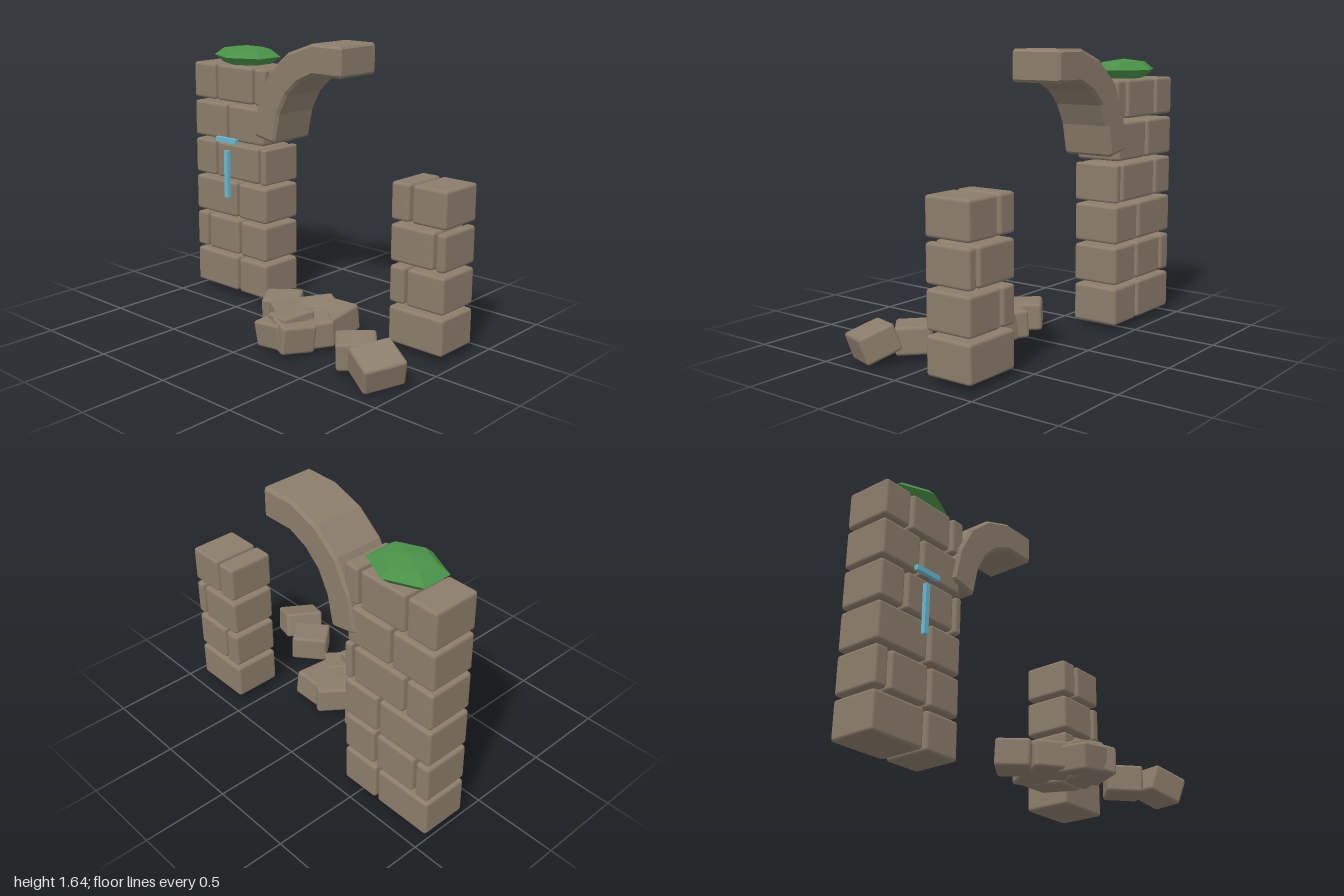
import * as THREE from 'three';
import { RoundedBoxGeometry } from 'three/addons/geometries/RoundedBoxGeometry.js';

const WALL_Z = -0.287, WALL_DEPTH = 0.285;

const stone = new THREE.MeshStandardMaterial({ color: 0x8b7d6b });
stone.name = 'stone';
const leaf = new THREE.MeshStandardMaterial({ color: 0x4a9148, flatShading: true });
leaf.name = 'leaf green';
const glow = new THREE.MeshStandardMaterial({ color: 0x6ab9d2 });
glow.name = 'rune blue';

// Stone block with softened edges
function block(name, w, h, d, x, y, z) {
  const r = Math.min(0.018, w * 0.3);
  const mesh = new THREE.Mesh(new RoundedBoxGeometry(w, h, d, 2, r), stone);
  mesh.name = name;
  mesh.position.set(x, y, z);
  return mesh;
}

// Courses of bricks; each row lists [left, right] spans along x
function wall(name, rows, rowHeight, brickHeight) {
  const group = new THREE.Group();
  group.name = name;
  rows.forEach((row, i) => {
    const y = 0.05 + i * rowHeight + brickHeight / 2;
    for (const [a, b] of row) {
      group.add(block('brick', b - a, brickHeight, WALL_DEPTH, (a + b) / 2, y, WALL_Z));
    }
  });
  return group;
}

// Broken arch: faceted curved outline, extruded with a small bevel
function brokenArch() {
  const outline = [
    [-0.278, 1.045], [-0.455, 1.073], [-0.472, 1.09],
    [-0.43, 1.29], [-0.337, 1.465], [-0.19, 1.587], [-0.005, 1.652],
    [0.195, 1.652], [0.21, 1.637], [0.21, 1.49], [0.195, 1.475],
    [0.005, 1.475], [-0.11, 1.423], [-0.2, 1.34], [-0.262, 1.222], [-0.297, 1.06],
  ].map(([x, y]) => new THREE.Vector2(x, y));
  // start the end face at its inner corner
  outline[0].set(-0.312, 1.047);
  const bevel = 0.016, depth = 0.316;
  const geo = new THREE.ExtrudeGeometry(new THREE.Shape(outline), {
    depth: depth - bevel * 2, bevelEnabled: true, bevelThickness: bevel,
    bevelSize: bevel, bevelOffset: -bevel, bevelSegments: 1,
  });
  geo.translate(0, 0, -0.443 + bevel);
  const mesh = new THREE.Mesh(geo, stone);
  mesh.name = 'brokenArch';
  return mesh;
}

// Fallen stones: position, size, rotation
function rubble() {
  const group = new THREE.Group();
  group.name = 'rubble';
  const stones = [
    [-0.1, 0.122, 0.0, 0.22, 0.155, 0.19, 0.04, 0.6, 0.03],
    [0.125, 0.13, -0.045, 0.17, 0.155, 0.23, 0.05, -0.6, -0.05],
    [0.262, 0.122, -0.02, 0.2, 0.155, 0.26, 0.12, 0.02, 0.02],
    [0.06, 0.125, 0.115, 0.23, 0.155, 0.2, -0.05, -0.6, 0.02],
    [0.28, 0.12, 0.15, 0.17, 0.155, 0.2, 0.05, -0.6, -0.04],
    [0.135, 0.115, 0.275, 0.2, 0.15, 0.19, 0.08, -0.06, 0.12],
    [0.24, 0.12, 0.275, 0.17, 0.16, 0.2, -0.08, -0.4, -0.08],
    [0.185, 0.16, 0.225, 0.18, 0.14, 0.2, 0.1, -0.25, 0.1],
    [0.63, 0.12, 0.205, 0.22, 0.155, 0.2, 0.03, 0.72, 0.03],
    [0.845, 0.128, 0.3, 0.21, 0.155, 0.24, 0.1, -0.45, -0.32],
  ];
  for (const [x, y, z, w, h, d, rx, ry, rz] of stones) {
    const mesh = block('fallenStone', w, h, d, x, y, z);
    mesh.rotation.set(rx, ry, rz, 'YXZ');
    group.add(mesh);
  }
  return group;
}

// Low-poly shrub on top of the tall wall
function shrub() {
  const geo = new THREE.SphereGeometry(1, 6, 4);
  geo.rotateY(Math.PI / 2);
  geo.scale(0.228, 0.063, 0.174);
  const mesh = new THREE.Mesh(geo, leaf);
  mesh.name = 'shrub';
  mesh.position.set(-0.672, 1.52, WALL_Z);
  return mesh;
}

// Raised blue bars on the wall face
function rune() {
  const group = new THREE.Group();
  group.name = 'rune';
  for (const [name, w, h, x, y] of [
    ['runeCrossbar', 0.172, 0.03, -0.689, 1.016],
    ['runeStem', 0.03, 0.293, -0.69, 0.803],
  ]) {
    const bar = new THREE.Mesh(new THREE.BoxGeometry(w, h, 0.025), glow);
    bar.name = name;
    bar.position.set(x, y, -0.122);
    group.add(bar);
  }
  return group;
}

export function createModel() {
  const model = new THREE.Group();
  model.name = 'ruinedArchway';

  model.add(wall('tallWall', [
    [[-1, -0.64], [-0.62, -0.385]],
    [[-1, -0.91], [-0.89, -0.625], [-0.605, -0.385]],
    [[-1, -0.64], [-0.62, -0.385]],
    [[-1, -0.825], [-0.805, -0.452], [-0.432, -0.385]],
    [[-1, -0.722], [-0.702, -0.405]],
    [[-1, -0.813], [-0.795, -0.497], [-0.477, -0.385]],
  ], 0.24, 0.22));

  model.add(wall('shortWall', [
    [[0.565, 0.925]],
    [[0.565, 0.664], [0.682, 0.925]],
    [[0.565, 0.848], [0.866, 0.925]],
    [[0.565, 0.686], [0.704, 0.925]],
  ], 0.2345, 0.211));

  model.add(brokenArch(), rubble(), shrub(), rune());
  return model;
}
